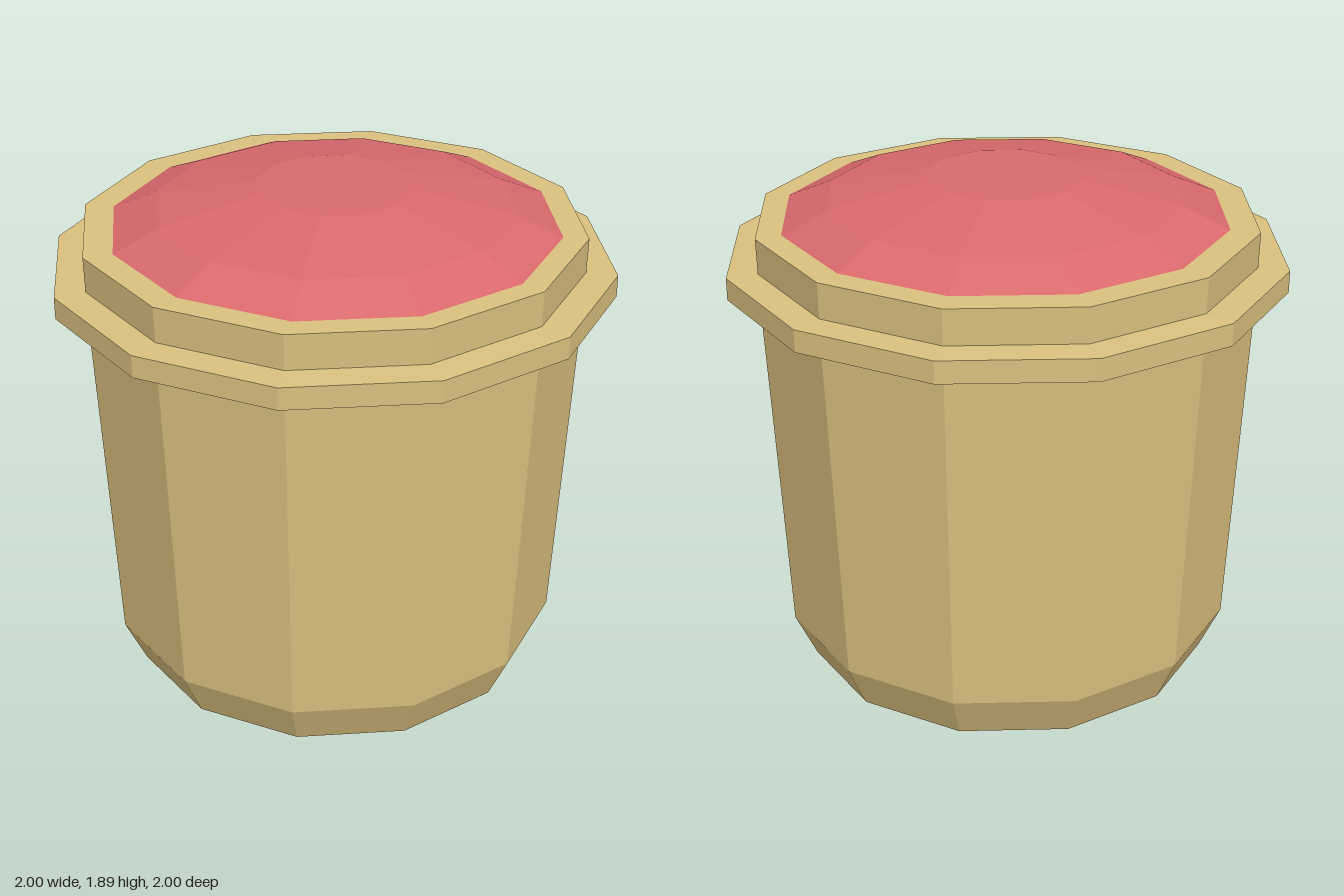
import * as THREE from 'three';

const SIDES = 12;

// Faceted solid of revolution; profile runs from the bottom up as [radius, y]
function turned(name, profile, material) {
  const points = profile.map(([r, y]) => new THREE.Vector2(r, y));
  const geometry = new THREE.LatheGeometry(points, SIDES).toNonIndexed();
  geometry.computeVertexNormals();
  const mesh = new THREE.Mesh(geometry, material);
  mesh.name = name;
  return mesh;
}

export function createModel() {
  const tan = new THREE.MeshStandardMaterial({ color: 0xdac07f });
  tan.name = 'tan';
  const red = new THREE.MeshStandardMaterial({ color: 0xd9696c });
  red.name = 'red';

  const model = new THREE.Group();
  model.name = 'capsule';

  // Tapered cup with a bevelled, closed base
  model.add(turned('cup', [[0, 0], [0.57, 0], [0.75, 0.07], [0.828, 0.24], [0.89, 1.545]], tan));

  // Wide flange around the top of the cup
  model.add(turned('flange', [[0.89, 1.545], [1, 1.545], [1, 1.625], [0.89, 1.628]], tan));

  // Raised rim with a flat top
  model.add(turned('rim', [[0.89, 1.628], [0.893, 1.755], [0.78, 1.755]], tan));

  // Low domed lid, set very slightly off centre
  const lid = turned('lid', [[0.796, 1.756], [0.635, 1.825], [0.28, 1.895], [0, 1.895]], red);
  lid.position.x = 0.01;
  model.add(lid);

  return model;
}
